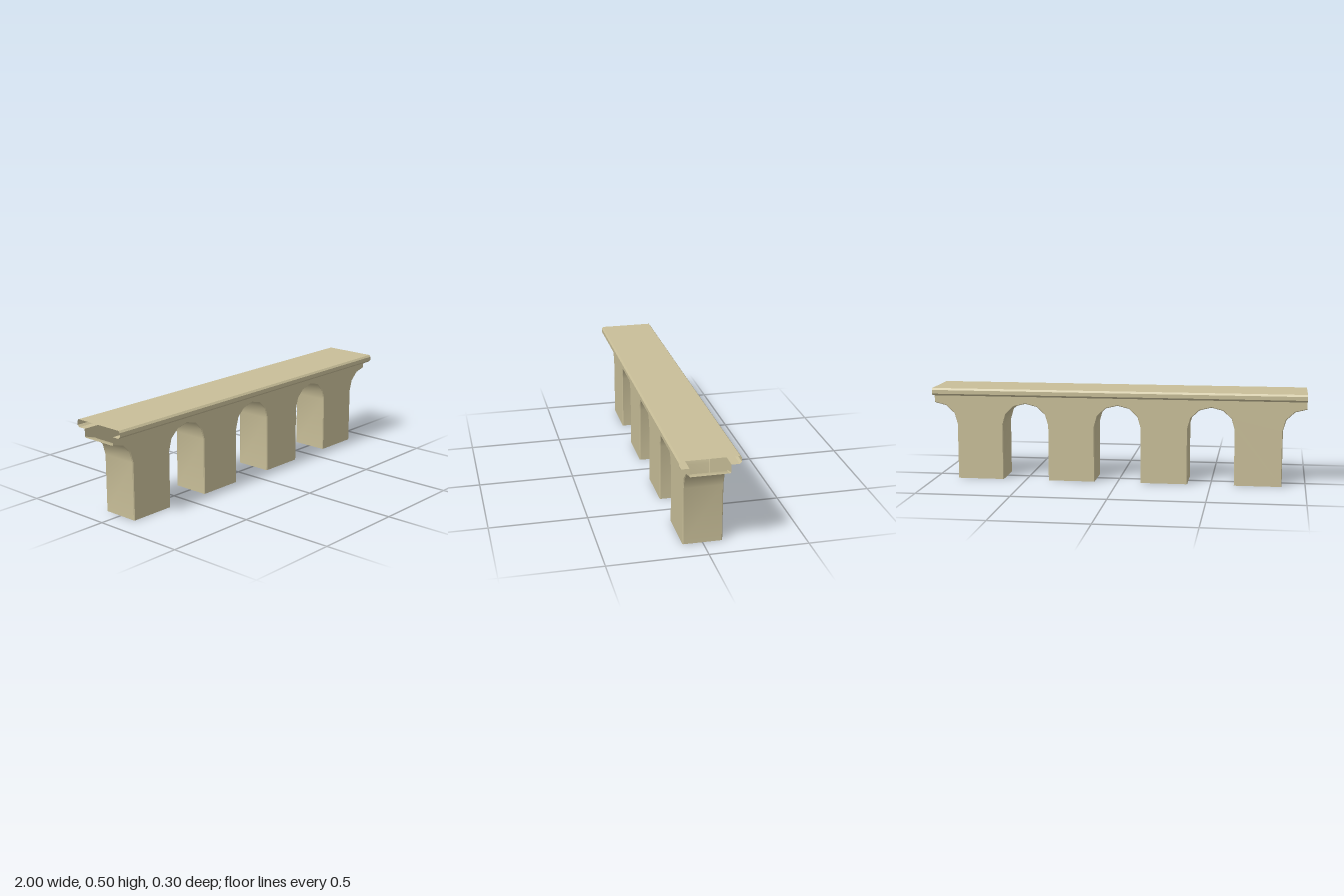
import * as THREE from 'three';
import { toCreasedNormals } from 'three/addons/utils/BufferGeometryUtils.js';

const stone = new THREE.MeshStandardMaterial({ color: 0xc8be98, side: THREE.DoubleSide });
const WALL_Z = 0.1, BEVEL = 0.004, SPRING = 0.3, WALL_TOP = 0.46;

// Skin a list of equally long rows of points
function loft(rows) {
  const n = rows[0].length, index = [];
  for (let r = 0; r < rows.length - 1; r++) {
    for (let i = 0; i < n - 1; i++) {
      const a = r * n + i, b = a + n;
      index.push(a, b, b + 1, a, b + 1, a + 1);
    }
  }
  const geometry = new THREE.BufferGeometry().setFromPoints(rows.flat());
  geometry.setIndex(index);
  return toCreasedNormals(geometry, 0.6);
}

// Lower outline from x = -1 to 1: half arch, three full arches, half arch
function arcadeOutline(radius) {
  const points = [];
  for (let bay = -2; bay <= 2; bay++) {
    const cx = bay * 0.5;
    if (bay > -2) points.push(new THREE.Vector2(cx - radius, 0));
    for (let k = bay === -2 ? 3 : 0; k <= (bay === 2 ? 3 : 6); k++) {
      const angle = Math.PI * (1 - k / 6);
      points.push(new THREE.Vector2(cx + radius * Math.cos(angle),
        SPRING + (radius - 0.008) * Math.sin(angle)));
    }
    if (bay < 2) points.push(new THREE.Vector2(cx + radius, 0));
  }
  return points;
}

export function createModel() {
  const group = new THREE.Group();
  const add = (name, geometry) => {
    const mesh = new THREE.Mesh(geometry, stone);
    mesh.name = name;
    group.add(mesh);
    return mesh;
  };

  const inner = arcadeOutline(0.124), outer = arcadeOutline(0.124 + BEVEL);

  // Side walls with the arch openings cut out
  const wall = new THREE.ShapeGeometry(new THREE.Shape([
    ...outer, new THREE.Vector2(1, WALL_TOP), new THREE.Vector2(-1, WALL_TOP),
  ]));
  add('frontWall', wall).position.z = WALL_Z;
  const back = add('backWall', wall);
  back.position.z = -WALL_Z;
  back.rotation.y = Math.PI;

  // Arch undersides, pier sides and pier feet, with narrow bevelled edges
  const row = (outline, z) => outline.map(p => new THREE.Vector3(p.x, p.y, z));
  add('archesAndPiers', loft([
    row(outer, WALL_Z), row(inner, WALL_Z - BEVEL),
    row(inner, BEVEL - WALL_Z), row(outer, -WALL_Z),
  ]));

  // Deck with moulded cornices, open at both ends: profile as [z, y]
  const half = [[WALL_Z, WALL_TOP], [0.14, 0.46], [0.15, 0.47], [0.15, 0.49], [0.142, 0.5]];
  const profile = [...half, ...half.map(([z, y]) => [-z, y]).reverse()];
  add('deck', loft([-1, 1].map(x => profile.map(([z, y]) => new THREE.Vector3(x, y, z)))));

  return group;
}
